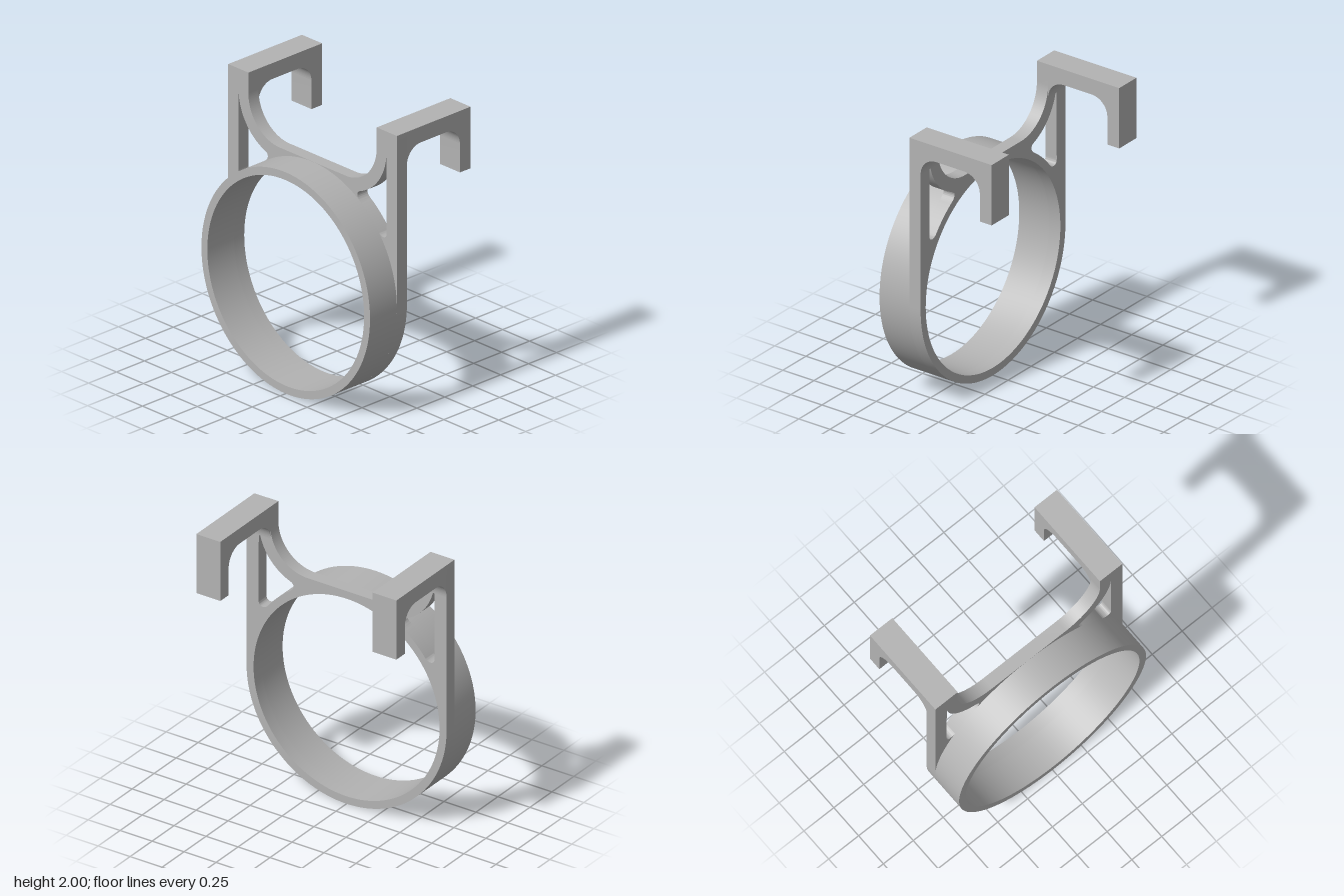
import * as THREE from 'three';
import { toCreasedNormals } from 'three/addons/utils/BufferGeometryUtils.js';

const CY = 0.782, R = 0.782, BORE = 0.727;   // ring centre height and radii
const BACK = 0.12, MID = 0.21, FRONT = 0.45; // depth levels
const IN = 0.595, CX = 0.305, AY = 1.855;    // arm inner edge and strut arc centre

function extrude(shape, depth) {
  const g = new THREE.ExtrudeGeometry(shape, { depth, bevelEnabled: false, curveSegments: 64 });
  return toCreasedNormals(g, 0.5);
}

function bore() {
  return new THREE.Path().absarc(0, CY, BORE, 0, Math.PI * 2, true);
}

// Rounded triangular window between arm, strut and ring
function windowPoints() {
  const p = new THREE.Path();
  p.moveTo(0.686, AY);
  p.absarc(CX, AY, 0.381, 0, -1.207, true);
  p.bezierCurveTo(0.405, 1.485, 0.408, 1.452, 0.44, 1.429);
  p.absarc(0, CY, R, 0.972, 0.655, true);
  p.bezierCurveTo(0.645, 1.238, 0.69, 1.235, 0.688, 1.285);
  return p.getPoints(24);
}

export function createModel() {
  const model = new THREE.Group();
  const grey = new THREE.MeshStandardMaterial({ color: 0xb3b3b3 });
  grey.name = 'grey';
  const add = (name, geometry) => {
    const mesh = new THREE.Mesh(geometry, grey);
    mesh.name = name;
    model.add(mesh);
    return mesh;
  };

  // Front part of the ring
  const ring = new THREE.Shape().absarc(0, CY, R, 0, Math.PI * 2, false);
  ring.holes.push(bore());
  add('ring', extrude(ring, FRONT - MID)).position.z = MID;

  // Back frame: lower half ring, two arms and the curved cross strut
  const frame = new THREE.Shape();
  frame.moveTo(R, 2);
  frame.lineTo(IN, 2);
  frame.lineTo(IN, AY);
  frame.absarc(CX, AY, IN - CX, 0, -Math.PI / 2, true);
  frame.absarc(-CX, AY, IN - CX, -Math.PI / 2, -Math.PI, true);
  frame.lineTo(-IN, 2);
  frame.lineTo(-R, 2);
  frame.lineTo(-R, CY);
  frame.absarc(0, CY, R, Math.PI, Math.PI * 2, false);
  frame.lineTo(R, 2);
  const pts = windowPoints();
  frame.holes.push(
    bore(),
    new THREE.Path(pts),
    new THREE.Path(pts.map((p) => new THREE.Vector2(-p.x, p.y)).reverse())
  );
  add('backFrame', extrude(frame, MID - BACK)).position.z = BACK;

  // Hooks reaching backwards, drawn from the side and turned
  const r = 0.125, top = 1.888, tip = 0.355;
  const hook = new THREE.Shape();
  hook.moveTo(-BACK, 2);
  hook.lineTo(-BACK, top - r);
  hook.absarc(-BACK + r, top - r, r, Math.PI, Math.PI / 2, true);
  hook.absarc(tip - r, top - r, r, Math.PI / 2, 0, true);
  hook.lineTo(tip, 1.565);
  hook.lineTo(0.45, 1.565);
  hook.lineTo(0.45, 2);
  hook.closePath();
  const hookGeometry = extrude(hook, R - IN).rotateY(Math.PI / 2);
  add('leftHook', hookGeometry).position.x = IN;
  add('rightHook', hookGeometry).position.x = -R;

  return model;
}
